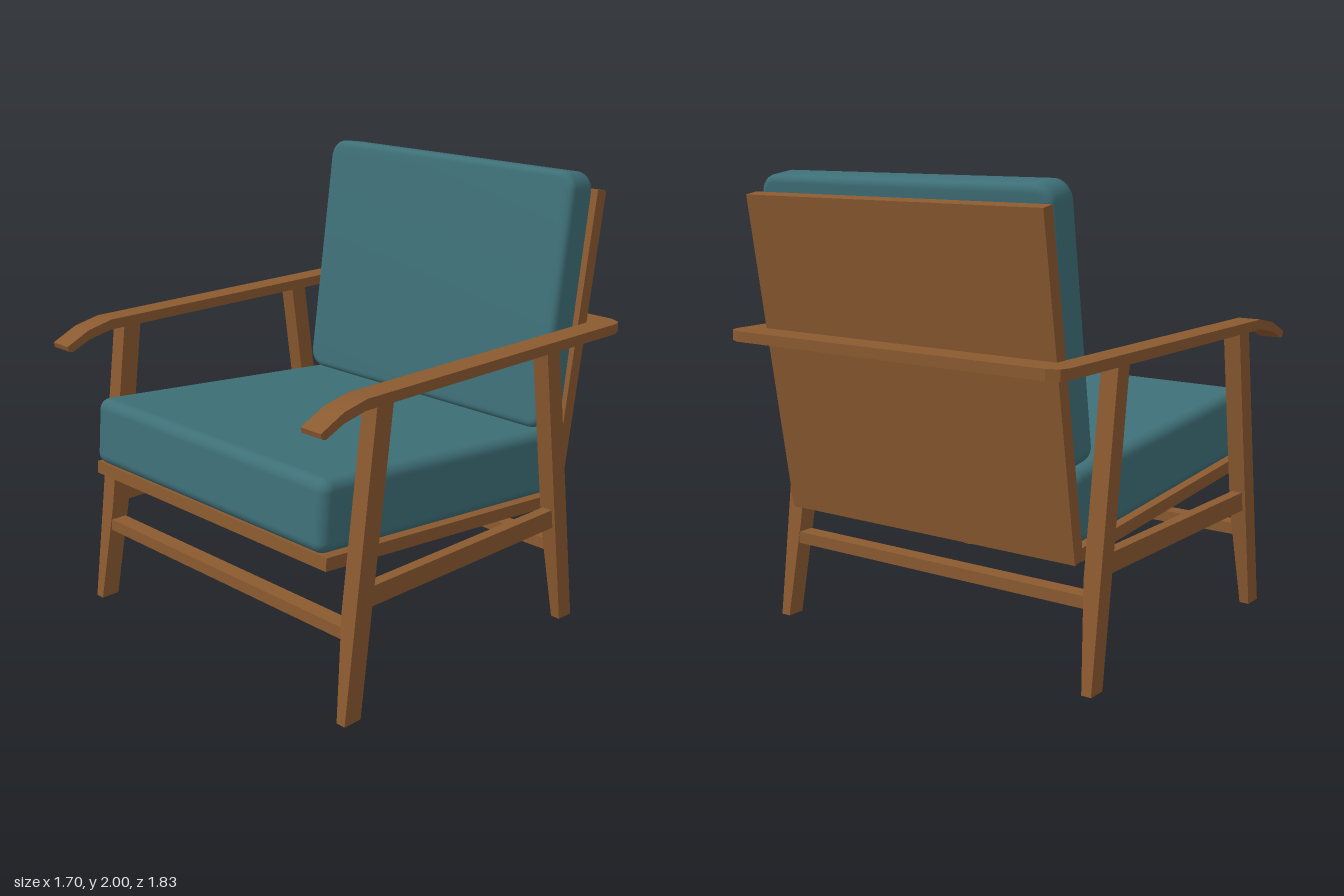
import * as THREE from 'three';
import { toCreasedNormals } from 'three/addons/utils/BufferGeometryUtils.js';
import { RoundedBoxGeometry } from 'three/addons/geometries/RoundedBoxGeometry.js';

const wood = new THREE.MeshStandardMaterial({ color: 0x8b5a30 });
wood.name = 'walnutWood';
const fabric = new THREE.MeshStandardMaterial({ color: 0x3e6f77 });
fabric.name = 'tealFabric';

export function createModel() {
  const group = new THREE.Group();
  const deg = THREE.MathUtils.degToRad;

  function add(name, geometry, material, x = 0, y = 0, z = 0, tilt = 0) {
    const mesh = new THREE.Mesh(geometry, material);
    mesh.name = name;
    mesh.position.set(x, y, z);
    mesh.rotation.x = deg(tilt);
    group.add(mesh);
    return mesh;
  }
  const box = (name, w, h, d, ...place) => add(name, new THREE.BoxGeometry(w, h, d), wood, ...place);
  const outline = (points) => new THREE.Shape(points.map(([a, b]) => new THREE.Vector2(a, b)));

  // Leaning leg whose inner face tapers towards the floor
  function leg(name, side, zBottom, zTop, depth) {
    const geo = new THREE.BoxGeometry(1, 1, 1, 1, 2, 1);
    const p = geo.attributes.position;
    const top = 1.295, bend = 0.45;
    for (let i = 0; i < p.count; i++) {
      const level = Math.round((p.getY(i) + 0.5) * 2);
      const y = [0, bend, top][level];
      const inner = level === 0 ? 0.785 : 0.752;
      const isOuter = p.getX(i) * side > 0;
      const z = THREE.MathUtils.lerp(zBottom, zTop, y / top) + p.getZ(i) * depth;
      p.setXYZ(i, side * (isOuter ? 0.83 : inner), y, z);
    }
    add(name, toCreasedNormals(geo, 0.03), wood);
  }

  // Legs, side stretchers and drooping arm tips, mirrored
  const tipProfile = outline([
    [0.66, 1.285], [0.69, 1.285], [0.80, 1.262], [0.892, 1.222], [0.91, 1.228],
    [0.916, 1.25], [0.80, 1.305], [0.68, 1.33], [0.66, 1.33],
  ]);
  for (const side of [1, -1]) {
    const label = side > 0 ? 'left' : 'right';
    leg(label + 'FrontLeg', side, 0.733, 0.562, 0.088);
    leg(label + 'BackLeg', side, -0.618, -0.445, 0.083);
    box(label + 'SideStretcher', 0.05, 0.085, 1.18, side * 0.79, 0.502, 0.05);
    const tip = new THREE.ExtrudeGeometry(tipProfile, { depth: 0.107, bevelEnabled: false });
    tip.rotateY(-Math.PI / 2);
    add(label + 'ArmTip', toCreasedNormals(tip, 0.5), wood, side > 0 ? 0.85 : -0.743);
  }

  // Front and back stretchers
  box('frontStretcher', 1.53, 0.052, 0.075, 0, 0.36, 0.685);
  box('backStretcher', 1.53, 0.052, 0.075, 0, 0.36, -0.57);

  // Arms and back rail as one U-shaped board
  const half = [[0.743, -0.66], [0.85, -0.66], [0.85, 0.855], [0.835, 0.892], [0.785, 0.917]];
  const mirrored = half.map(([x, y]) => [-x, y]).reverse();
  const rail = new THREE.ExtrudeGeometry(
    outline([...half, ...mirrored, [-0.743, 0.775], [0.743, 0.775]]),
    { depth: 0.045, bevelEnabled: false });
  rail.rotateX(-Math.PI / 2);
  add('armRail', rail, wood, 0, 1.285, 0);

  // Seat and back boards
  box('seatBoard', 1.49, 0.055, 1.4, 0, 0.608, 0.095, -4.9);
  box('backBoard', 1.49, 1.4, 0.06, 0, 1.213, -0.733, -9.2);

  // Seat cushion
  add('seatCushion', new RoundedBoxGeometry(1.474, 0.3, 1.43, 4, 0.05), fabric, 0, 0.786, 0.087, -4.9);

  // Back cushion: rounded corners with a softer, smaller edge
  const bevel = 0.03, w = 0.735 - bevel, h = 0.56 - bevel, r = 0.05;
  const face = new THREE.Shape();
  face.moveTo(-w + r, -h);
  face.lineTo(w - r, -h).absarc(w - r, -h + r, r, -Math.PI / 2, 0, false);
  face.lineTo(w, h - r).absarc(w - r, h - r, r, 0, Math.PI / 2, false);
  face.lineTo(-w + r, h).absarc(-w + r, h - r, r, Math.PI / 2, Math.PI, false);
  face.lineTo(-w, -h + r).absarc(-w + r, -h + r, r, Math.PI, Math.PI * 1.5, false);
  const cushion = new THREE.ExtrudeGeometry(face, {
    depth: 0.155 - 2 * bevel, bevelThickness: bevel, bevelSize: bevel, bevelSegments: 4, curveSegments: 6,
  });
  cushion.center();
  add('backCushion', toCreasedNormals(cushion, 0.7), fabric, 0, 1.435, -0.654, -8.3);

  return group;
}
